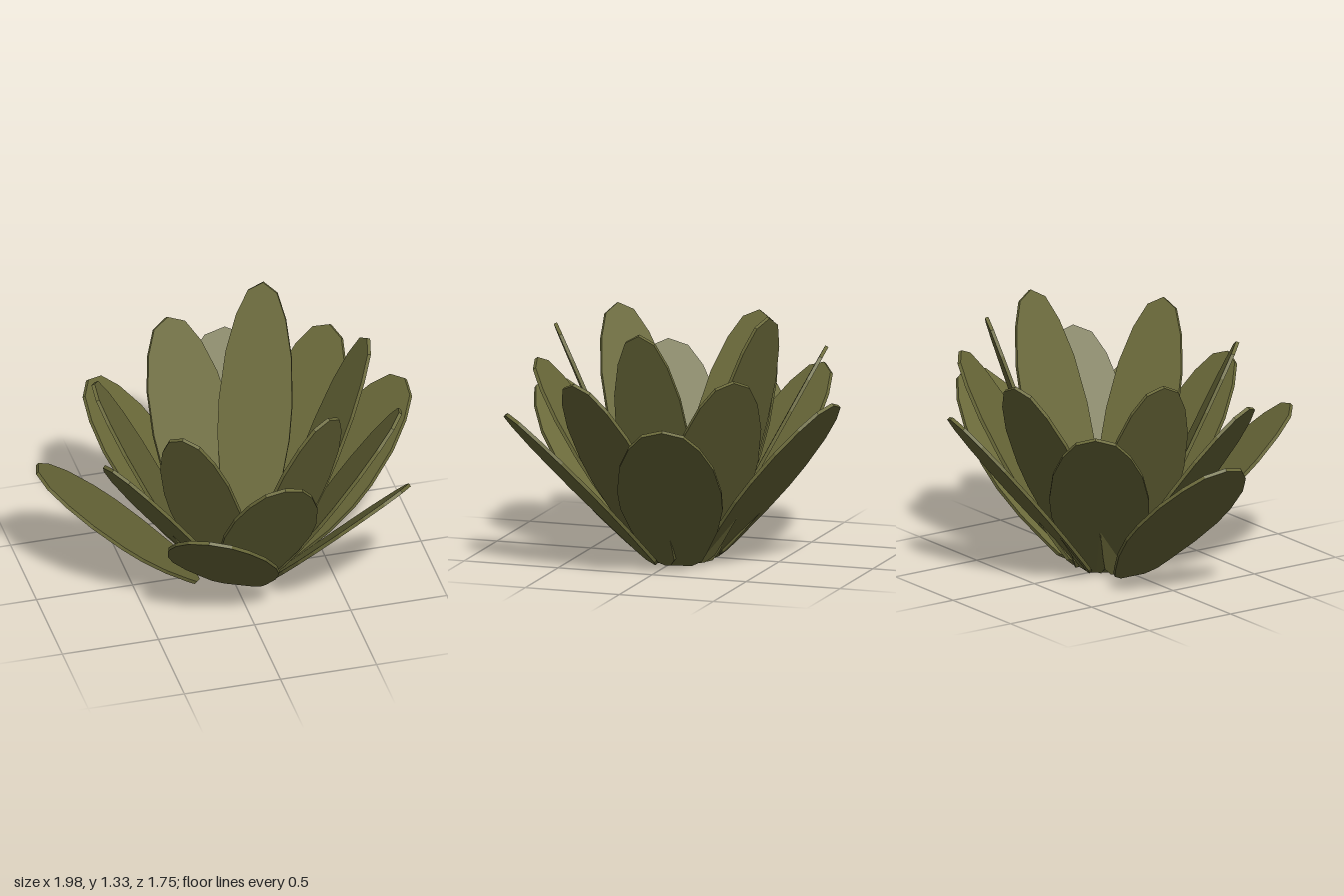
import * as THREE from 'three';

const THICKNESS = 0.018;

// Petal tips from the innermost (steepest) to the outermost
const TIPS = [
  [0.33, 1.33, -0.56], [0.73, 1.28, -0.01], [0.37, 1.23, 0.56], [-0.37, 1.19, 0.49],
  [-0.66, 1.14, -0.17], [-0.13, 1.10, -0.71], [0.66, 1.06, -0.49], [0.81, 1.02, 0.31],
  [0.09, 0.98, 0.76], [-0.69, 0.95, 0.33], [-0.59, 0.91, -0.54], [0.21, 0.88, -0.86],
  [0.98, 0.85, -0.22], [0.71, 0.82, 0.70], [-0.33, 0.79, 0.85], [-0.99, 0.76, -0.02],
];

// Half outline of a petal: [share of half width, share of length]
const HALF = [
  [0.26, 0], [0.46, 0.035], [0.58, 0.1], [0.83, 0.26], [0.98, 0.42],
  [1, 0.55], [0.9, 0.73], [0.68, 0.87], [0.4, 0.965],
];

// Flat faceted plate, base at the origin, growing along +y
function petalGeometry(halfWidth, length) {
  const right = HALF.map(([v, u]) => new THREE.Vector2(v * halfWidth, u * length));
  const left = right.map((p) => new THREE.Vector2(-p.x, p.y)).reverse();
  const shape = new THREE.Shape([...right, new THREE.Vector2(0, length), ...left]);
  const geometry = new THREE.ExtrudeGeometry(shape, { depth: THICKNESS, bevelEnabled: false });
  return geometry.translate(0, 0, -THICKNESS / 2);
}

export function createModel() {
  const flower = new THREE.Group();
  flower.name = 'flower';
  const material = new THREE.MeshStandardMaterial({ color: 0x6b6a3a, flatShading: true });

  TIPS.forEach((tip, i) => {
    // Each petal turns on by a fixed step and leans further out
    const turn = ((i - 1) * 2 * Math.PI) / 5.6;
    const tilt = THREE.MathUtils.degToRad(71 - 1.9 * i);
    const length = (tip[1] - 0.01) / Math.sin(tilt);

    const along = new THREE.Vector3(
      Math.cos(turn) * Math.cos(tilt), Math.sin(tilt), Math.sin(turn) * Math.cos(tilt));
    const across = new THREE.Vector3(Math.sin(turn), 0, -Math.cos(turn));
    const normal = new THREE.Vector3().crossVectors(across, along);

    const petal = new THREE.Mesh(petalGeometry(0.187 + 0.0064 * i, length), material);
    petal.name = `petal${i + 1}`;
    petal.quaternion.setFromRotationMatrix(new THREE.Matrix4().makeBasis(across, along, normal));
    petal.position.set(...tip).addScaledVector(along, -length);
    flower.add(petal);
  });
  return flower;
}
